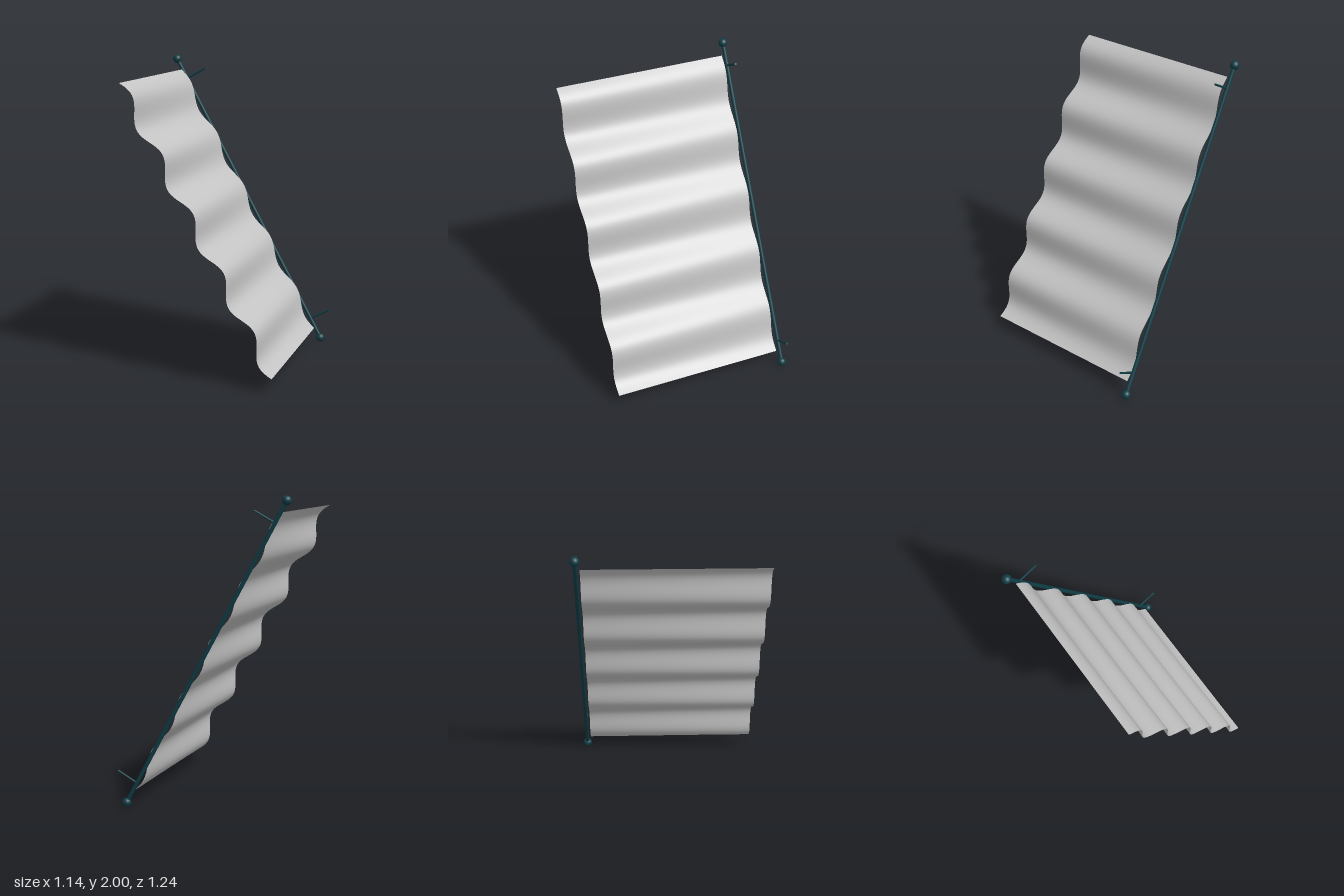
import * as THREE from 'three';

export function createModel() {
  const model = new THREE.Group();
  model.name = 'curtainOnRod';

  const rodMaterial = new THREE.MeshStandardMaterial({ color: 0x0f3c44 });
  rodMaterial.name = 'dark teal metal';
  const clothMaterial = new THREE.MeshStandardMaterial({ color: 0xc4c4c4, side: THREE.DoubleSide });
  clothMaterial.name = 'light grey cloth';

  // Tilted frame: x along the rod, y out along the brackets, z down the cloth
  const along = new THREE.Vector3(1.05, -1.935, -0.04).normalize();
  const drop = new THREE.Vector3(0.026, -0.004, 1).normalize();
  const out = new THREE.Vector3().crossVectors(drop, along).normalize();
  drop.crossVectors(along, out);
  const frame = new THREE.Group();
  frame.name = 'tiltedFrame';
  frame.quaternion.setFromRotationMatrix(new THREE.Matrix4().makeBasis(along, out, drop));
  frame.position.set(-0.02, 1.0, -0.576);
  model.add(frame);

  const add = (name, geometry, material, x = 0, y = 0, z = 0) => {
    const mesh = new THREE.Mesh(geometry, material);
    mesh.name = name;
    mesh.position.set(x, y, z);
    frame.add(mesh);
    return mesh;
  };

  // Rod with a ball finial and a wall bracket at each end
  const halfRod = 1.104;
  add('rod', new THREE.CylinderGeometry(0.013, 0.013, halfRod * 2, 16).rotateZ(Math.PI / 2), rodMaterial);
  for (const side of [-1, 1]) {
    add('finial', new THREE.SphereGeometry(0.03, 20, 14), rodMaterial, side * halfRod);
    add('bracket', new THREE.CylinderGeometry(0.007, 0.007, 0.148, 10), rodMaterial, side * 0.952, 0.074);
  }

  // Cloth with five folds that deepen towards the hem
  const width = 2.044, length = 1.15, folds = 5;
  const cloth = new THREE.PlaneGeometry(width, length, 120, 16).rotateX(-Math.PI / 2);
  const p = cloth.attributes.position;
  for (let i = 0; i < p.count; i++) {
    const t = p.getX(i) / width + 0.5;
    const v = p.getZ(i) / length + 0.5;
    p.setY(i, (0.022 + 0.017 * v) * Math.sin(t * folds * Math.PI * 2));
  }
  cloth.computeVertexNormals();
  add('curtain', cloth, clothMaterial, 0, 0, 0.025 + length / 2);

  return model;
}
